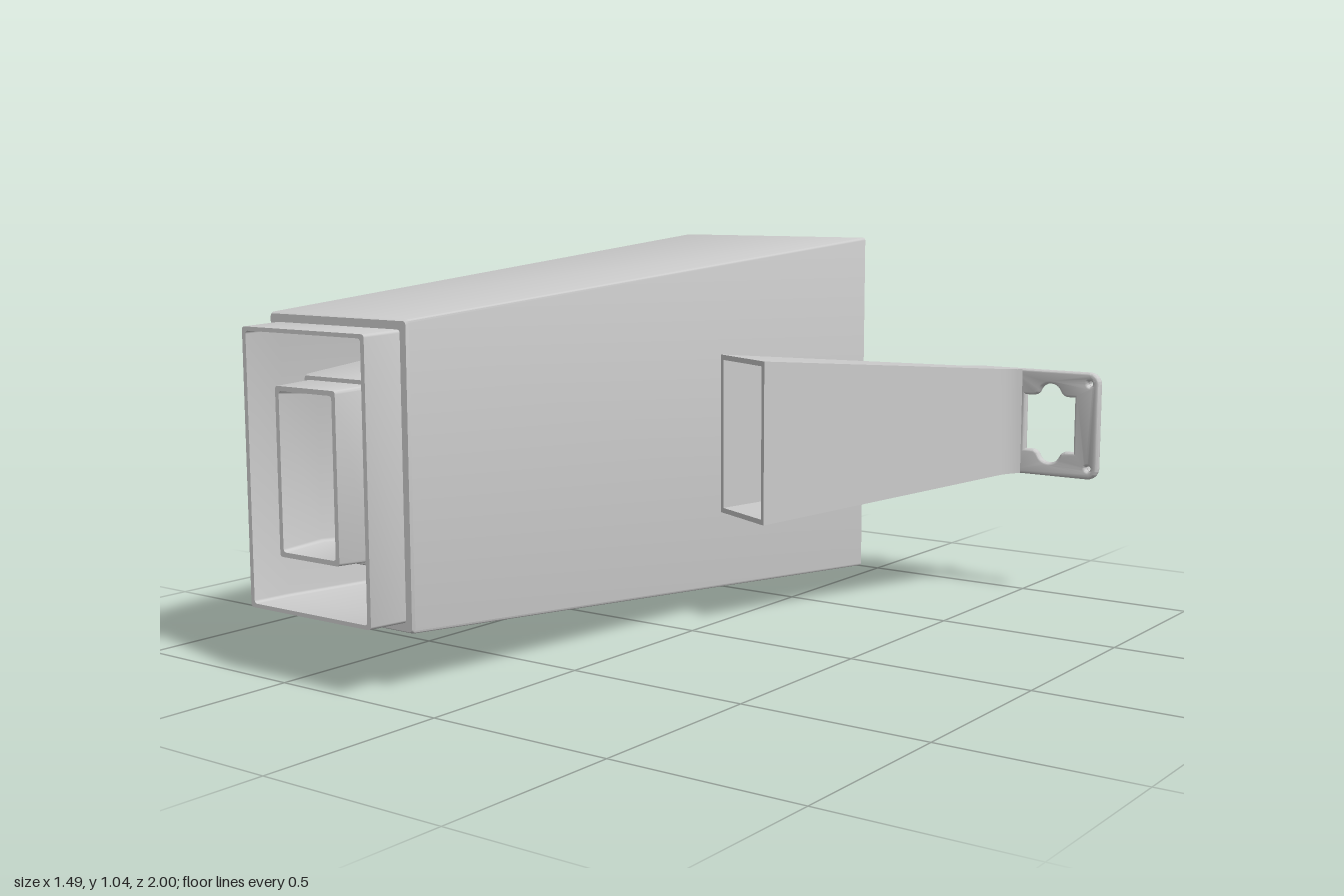
import * as THREE from 'three';
import { toCreasedNormals } from 'three/addons/utils/BufferGeometryUtils.js';

const material = new THREE.MeshStandardMaterial({ color: 0xcccccc });

function add(parent, name, geometry) {
  const mesh = new THREE.Mesh(geometry, material);
  mesh.name = name;
  parent.add(mesh);
  return mesh;
}

// Skin a row of equal-length rings; either join last to first or cap the last
function loft(rings, joined) {
  const n = rings[0].length, index = [];
  const count = joined ? rings.length : rings.length - 1;
  for (let r = 0; r < count; r++) {
    const a = r * n, b = ((r + 1) % rings.length) * n;
    for (let i = 0; i < n; i++) {
      const j = (i + 1) % n;
      index.push(a + i, a + j, b + j, a + i, b + j, b + i);
    }
  }
  const last = (rings.length - 1) * n;
  if (!joined) for (let i = 1; i < n - 1; i++) index.push(last, last + i, last + i + 1);
  const geometry = new THREE.BufferGeometry();
  geometry.setAttribute('position', new THREE.Float32BufferAttribute(rings.flat(2), 3));
  geometry.setIndex(index);
  return toCreasedNormals(geometry, 0.6);
}

// Rectangle with slightly rounded corners, given as half sizes at depth z
function rectRing([hx, hy, z, r = 0.008]) {
  const points = [];
  [[1, 1], [-1, 1], [-1, -1], [1, -1]].forEach(([sx, sy], corner) => {
    for (let k = 0; k <= 3; k++) {
      const a = (corner + k / 3) * Math.PI / 2;
      points.push([sx * (hx - r) + r * Math.cos(a), sy * (hy - r) + r * Math.sin(a), z]);
    }
  });
  return points;
}

const MID = 0.51; // height of the bracket's centre line

// Bracket section running from a rear point L to a front point R, inset by wall w
function armRing([lx, lz, rx, rz, h], w = 0) {
  const len = Math.hypot(rx - lx, rz - lz);
  const dx = (rx - lx) / len * w, dz = (rz - lz) / len * w, k = h - w;
  return [
    [lx + dx, MID - k, lz + dz], [rx - dx, MID - k, rz - dz],
    [rx - dx, MID + k, rz - dz], [lx + dx, MID + k, lz + dz],
  ];
}

function circlePath(x, y, r) {
  return new THREE.Path().absarc(x, y, r, 0, Math.PI * 2, true);
}

function mountingPlate() {
  const x0 = 0.47, x1 = 0.732, h = 0.147, r = 0.026;
  const shape = new THREE.Shape();
  shape.moveTo(x0, -h);
  shape.lineTo(x1 - r, -h);
  shape.absarc(x1 - r, -h + r, r, -Math.PI / 2, 0, false);
  shape.lineTo(x1, h - r);
  shape.absarc(x1 - r, h - r, r, 0, Math.PI / 2, false);
  shape.lineTo(x0, h);

  // Square window with a rounded lobe above and below
  const c = 0.588, w = 0.085, s = 0.088;
  const hole = new THREE.Path();
  hole.moveTo(c - w, -s);
  hole.lineTo(c - w, s);
  hole.lineTo(c - 0.055, s);
  hole.quadraticCurveTo(c - 0.044, s, c - 0.039, s + 0.012);
  hole.bezierCurveTo(c - 0.025, 0.132, c + 0.025, 0.132, c + 0.039, s + 0.012);
  hole.quadraticCurveTo(c + 0.044, s, c + 0.055, s);
  hole.lineTo(c + w, s);
  hole.lineTo(c + w, -s);
  hole.lineTo(c + 0.055, -s);
  hole.quadraticCurveTo(c + 0.044, -s, c + 0.039, -s - 0.012);
  hole.bezierCurveTo(c + 0.025, -0.132, c - 0.025, -0.132, c - 0.039, -s - 0.012);
  hole.quadraticCurveTo(c - 0.044, -s, c - 0.055, -s);
  hole.closePath();
  shape.holes.push(hole);
  for (const y of [-0.123, 0.123]) shape.holes.push(circlePath(0.71, y, 0.016));

  const geometry = new THREE.ExtrudeGeometry(shape, {
    depth: 0.009, bevelThickness: 0.008, bevelSize: 0.008, bevelSegments: 3, curveSegments: 12,
  });
  geometry.translate(0, MID, -0.977);
  return toCreasedNormals(geometry, 0.7);
}

export function createModel() {
  const model = new THREE.Group();

  // Two nested tapered ducts, each with a stepped lip at the front
  const duct = new THREE.Group();
  duct.name = 'duct';
  duct.position.set(-0.403, 0.518, 0);
  model.add(duct);

  add(duct, 'outerDuct', loft([
    [0.342, 0.518, -1],
    [0.234, 0.372, 0.883],
    [0.23, 0.368, 0.89],
    [0.211, 0.348, 0.89],
    [0.207, 0.344, 1],
    [0.195, 0.334, 1],
    [0.197, 0.337, 0.89],
    [0.262, 0.446, -1],
  ].map(rectRing), true));

  add(duct, 'innerDuct', loft([
    [0.226, 0.388, -0.98],
    [0.119, 0.226, 0.883],
    [0.115, 0.222, 0.89],
    [0.106, 0.212, 0.89],
    [0.102, 0.207, 0.995],
    [0.09, 0.195, 0.995],
    [0.082, 0.186, 0.88],
    [0.207, 0.368, -0.98],
  ].map(rectRing), true));

  // Hollow tapered arm that bends into the mounting plate
  const bracket = new THREE.Group();
  bracket.name = 'sideBracket';
  model.add(bracket);

  const mouth = [-0.06, -0.22, 0.15, -0.12, 0.222];
  const neck = [0.325, -0.912, 0.456, -0.885, 0.158];
  const bend = [
    [0.503, -0.985, 0.503, -0.954, 0.154],
    [0.395, -0.985, 0.49, -0.944, 0.154],
    [0.368, -0.977, 0.478, -0.93, 0.155],
    [0.345, -0.955, 0.466, -0.91, 0.156],
  ];
  add(bracket, 'hollowArm', loft([
    ...bend.map((s) => armRing(s)),
    armRing(neck),
    armRing(mouth),
    armRing(mouth, 0.014),
    armRing(neck, 0.014),
  ], false));

  add(bracket, 'mountingPlate', mountingPlate());

  // Small ring bosses on the back of the plate
  for (const x of [0.465, 0.71]) {
    for (const y of [-0.123, 0.123]) {
      const ring = new THREE.Shape().absarc(x, MID + y, 0.017, 0, Math.PI * 2, false);
      ring.holes.push(circlePath(x, MID + y, 0.009));
      const geometry = new THREE.ExtrudeGeometry(ring, { depth: 0.018, bevelEnabled: false, curveSegments: 16 });
      geometry.translate(0, 0, -1);
      add(bracket, 'plateBoss', toCreasedNormals(geometry, 0.7));
    }
  }
  return model;
}
